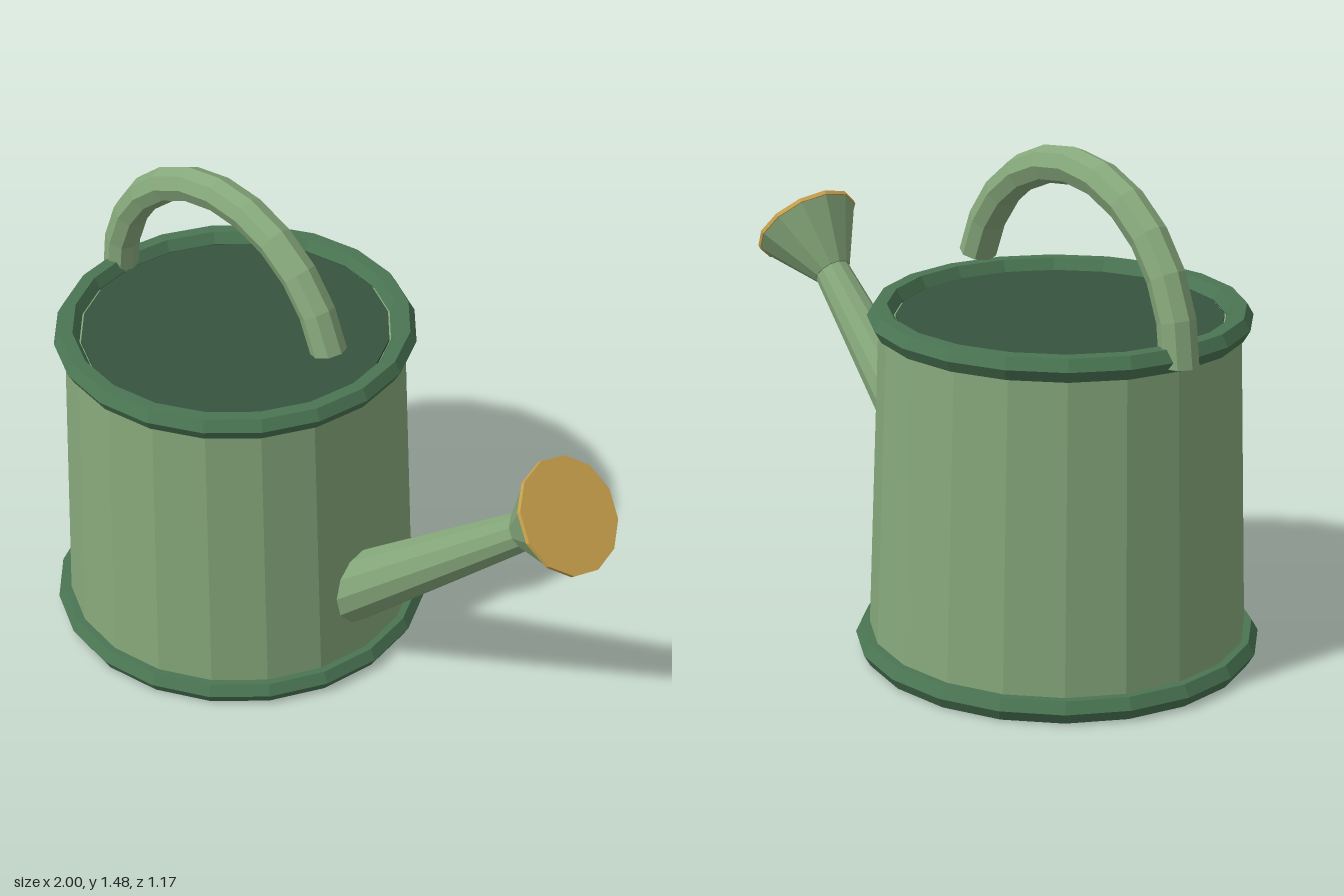
import * as THREE from 'three';

const mat = (name, color) => {
  const m = new THREE.MeshStandardMaterial({ color, flatShading: true });
  m.name = name;
  return m;
};

export function createModel() {
  const group = new THREE.Group();
  const green = mat('sageGreen', 0x86a87b);
  const rimGreen = mat('deepGreen', 0x4a7553);
  const dark = mat('shadowGreen', 0x36543f);
  const brass = mat('brass', 0xcba24c);
  const bodyX = -0.415;

  const add = (name, geometry, material, x = 0, y = 0, z = 0) => {
    const mesh = new THREE.Mesh(geometry, material);
    mesh.name = name;
    mesh.position.set(x, y, z);
    group.add(mesh);
    return mesh;
  };

  // Tapered section running between two points in the x-y plane
  const section = (name, material, from, to, r0, r1, sides) => {
    const a = new THREE.Vector3(...from, 0), b = new THREE.Vector3(...to, 0);
    const dir = b.clone().sub(a);
    const mesh = add(name, new THREE.CylinderGeometry(r1, r0, dir.length(), sides), material);
    mesh.position.copy(a).add(b).multiplyScalar(0.5);
    mesh.rotation.z = Math.atan2(dir.y, dir.x) - Math.PI / 2;
    return mesh;
  };

  // Tapered can with a dark opening
  add('body', new THREE.CylinderGeometry(0.51, 0.547, 0.985, 20), green, bodyX, 0.4925);
  add('opening', new THREE.CylinderGeometry(0.462, 0.462, 0.012, 20), dark, bodyX, 0.989);

  // Hexagonal-section rims
  for (const [name, radius, y] of [['bottomRim', 0.547, 0.034], ['topRim', 0.505, 0.993]]) {
    const rim = new THREE.TorusGeometry(radius, 0.038, 6, 20).rotateX(Math.PI / 2);
    add(name, rim, rimGreen, bodyX, y);
  }

  // Arched handle, with a cap on each end
  const start = THREE.MathUtils.degToRad(15), R = 0.457, r = 0.054;
  add('handle', new THREE.TorusGeometry(R, r, 8, 11, Math.PI - start).rotateZ(start), green, -0.469, 0.973);
  for (const [name, angle, turn] of [['handleFrontEnd', start, 1], ['handleBackEnd', Math.PI, -1]]) {
    const cap = new THREE.CircleGeometry(r, 8).rotateX(turn * Math.PI / 2).rotateZ(angle);
    add(name, cap, green, -0.469 + R * Math.cos(angle), 0.973 + R * Math.sin(angle));
  }

  // Spout, flared rose and its brass face
  section('spout', green, [0.04, 0.24], [0.745, 0.865], 0.107, 0.056, 12);
  section('rose', green, [0.738, 0.86], [0.878, 0.981], 0.06, 0.165, 12);
  section('roseFace', brass, [0.877, 0.98], [0.887, 0.9887], 0.168, 0.168, 12);

  return group;
}
